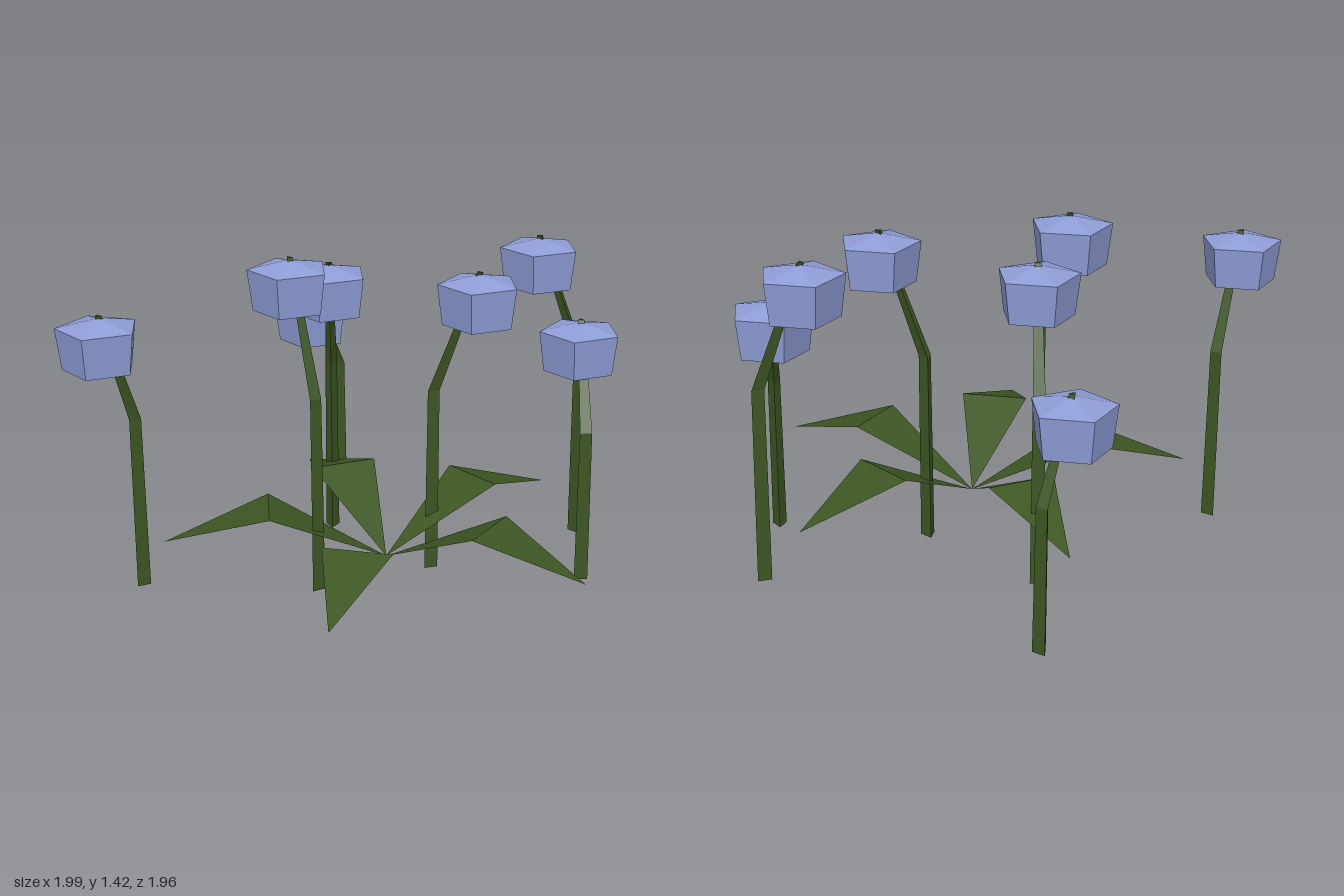
import * as THREE from 'three';

const green = new THREE.MeshStandardMaterial({ color: 0x3d5522 });
green.name = 'leafGreen';
const leafGreen = new THREE.MeshStandardMaterial({ color: 0x3d5522, side: THREE.DoubleSide });
leafGreen.name = 'leafGreenThin';
const blue = new THREE.MeshStandardMaterial({ color: 0x8e9dd6 });
blue.name = 'petalBlue';

// Unshared vertices give every face its own flat normal
function faceted(geometry) {
  const g = geometry.index ? geometry.toNonIndexed() : geometry;
  g.computeVertexNormals();
  return g;
}

function part(name, geometry, material) {
  const mesh = new THREE.Mesh(faceted(geometry), material);
  mesh.name = name;
  return mesh;
}

// Three-sided stalk: upright to a bend, then leaning in to the bloom's tip
function stemGeometry(base, tip) {
  const bend = base.clone().lerp(tip, 0.03).setY(tip.y * 0.607);
  const rows = [base, bend, tip];
  const radii = [0.034, 0.03, 0.016];
  const facing = Math.atan2(tip.x - base.x, tip.z - base.z);
  const g = new THREE.CylinderGeometry(1, 1, 1, 3, 2, false, facing);
  const p = g.attributes.position;
  for (let i = 0; i < p.count; i++) {
    const row = Math.round(p.getY(i) * 2 + 1);
    const c = rows[row], r = radii[row];
    p.setXYZ(i, c.x + p.getX(i) * r, c.y, c.z + p.getZ(i) * r);
  }
  return g;
}

// Five-sided bell with a shallow pointed top; origin at the apex
function bloomGeometry() {
  const profile = [[0, -0.215], [0.154, -0.215], [0.176, -0.04], [0, 0]]
    .map(([r, y]) => new THREE.Vector2(r, y));
  return new THREE.LatheGeometry(profile, 5, Math.PI / 2);
}

// Kite-shaped leaf along +x, folded down across its widest point
function leafGeometry() {
  const g = new THREE.BufferGeometry();
  g.setAttribute('position', new THREE.Float32BufferAttribute([
    0, 0, 0,
    0.5, 0.245, 0.148,
    0.5, 0.245, -0.148,
    0.945, 0.1, 0,
  ], 3));
  g.setIndex([0, 1, 2, 1, 3, 2]);
  return g;
}

// Bloom x, z, tip height, then stem base x, z
const flowers = [
  [-0.796, -0.64, 1.0, -0.778, -0.835],
  [-0.395, -0.174, 1.315, -0.495, -0.337],
  [-0.362, 0.174, 1.425, -0.18, 0.27],
  [-0.86, 0.81, 1.26, -0.85, 0.622],
  [0.295, -0.815, 1.385, 0.492, -0.87],
  [0.612, -0.59, 1.112, 0.735, -0.42],
  [0.306, -0.243, 1.36, 0.115, -0.184],
];

export function createModel() {
  const model = new THREE.Group();
  model.name = 'flowerCluster';

  for (const [x, z, height, baseX, baseZ] of flowers) {
    const flower = new THREE.Group();
    flower.name = 'flower';
    const tip = new THREE.Vector3(x, height, z);
    const base = new THREE.Vector3(baseX, 0, baseZ);
    const bloom = part('bloom', bloomGeometry(), blue);
    bloom.position.set(x, height - 0.01, z);
    flower.add(part('stem', stemGeometry(base, tip), green), bloom);
    model.add(flower);
  }

  // Rosette of five leaves
  const leaves = new THREE.Group();
  leaves.name = 'leaves';
  leaves.position.set(0.045, 0.13, 0.07);
  for (let i = 0; i < 5; i++) {
    const leaf = part('leaf', leafGeometry(), leafGreen);
    leaf.rotation.y = (i * Math.PI * 2) / 5;
    leaves.add(leaf);
  }
  model.add(leaves);

  return model;
}
